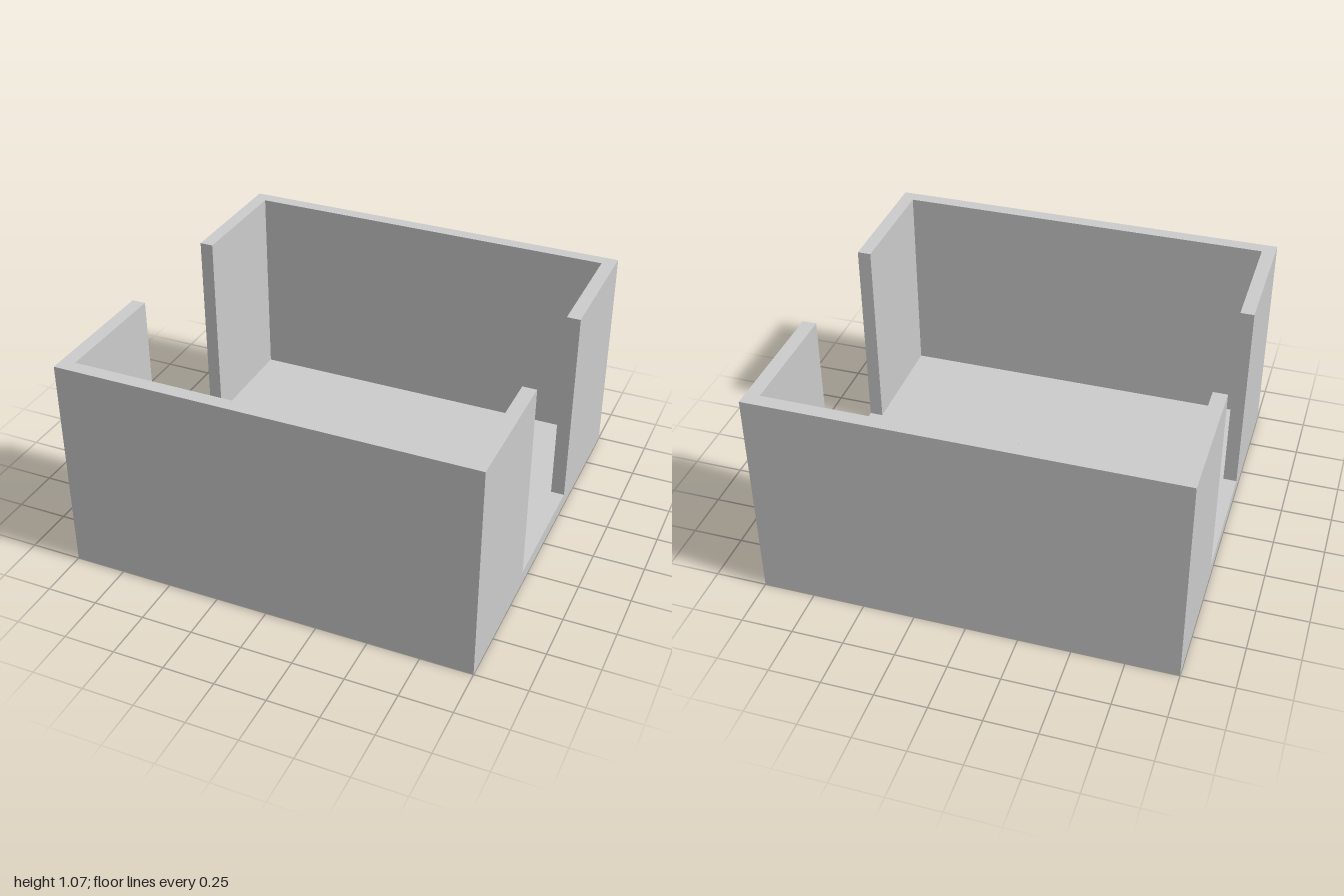
import * as THREE from 'three';

const T = 0.067;        // wall and floor thickness
const H = 1.067;        // overall height
const IN = 1 - T;       // inner face of the walls
const DOOR = 0.333;     // half width of the side openings

const material = new THREE.MeshStandardMaterial({ color: 0xcccccc, side: THREE.DoubleSide, flatShading: true });

function mesh(name, geometry) {
  const m = new THREE.Mesh(geometry, material);
  m.name = name;
  return m;
}

// Upright panel over the plan segment a -> b ([x, z]); faces outward for a counter-clockwise plan
function panel(name, a, b, y0, y1) {
  const g = new THREE.BufferGeometry();
  const v = [a[0], y0, a[1], b[0], y0, b[1], b[0], y1, b[1], a[0], y1, a[1]];
  g.setAttribute('position', new THREE.Float32BufferAttribute(v, 3));
  g.setIndex([0, 1, 2, 0, 2, 3]);
  g.computeVertexNormals();
  return mesh(name, g);
}

// Level sheet with outline [x, z] at height y, facing up
function sheet(name, outline, y) {
  const shape = new THREE.Shape(outline.map(([x, z]) => new THREE.Vector2(x, -z)));
  const g = new THREE.ShapeGeometry(shape);
  g.rotateX(-Math.PI / 2);
  g.translate(0, y, 0);
  return mesh(name, g);
}

// Half of the enclosure: one full wall with two short returns, hollow and open underneath
function createHalf(name) {
  const half = new THREE.Group();
  half.name = name;
  const plan = [
    [-1, DOOR], [-1, 1], [1, 1], [1, DOOR],
    [IN, DOOR], [IN, IN], [-IN, IN], [-IN, DOOR],
  ];
  plan.forEach((a, i) => {
    const outer = i < 3;   // outer faces reach the ground, the others stop at the floor
    const part = outer ? 'outerWall' : i === 3 || i === 7 ? 'doorJamb' : 'innerWall';
    half.add(panel(part, a, plan[(i + 1) % plan.length], outer ? 0 : T, H));
  });
  half.add(sheet('wallTop', plan, H));
  // Sill below the side opening
  half.add(panel('doorSill', [1, DOOR], [1, -DOOR], 0, T));
  return half;
}

export function createModel() {
  const model = new THREE.Group();
  model.name = 'openBox';

  const back = createHalf('backWalls');
  back.rotation.y = Math.PI;
  model.add(createHalf('frontWalls'), back);

  // Single floor sheet reaching out through both openings
  model.add(sheet('floor', [
    [-IN, IN], [IN, IN], [IN, DOOR], [1, DOOR], [1, -DOOR], [IN, -DOOR],
    [IN, -IN], [-IN, -IN], [-IN, -DOOR], [-1, -DOOR], [-1, DOOR], [-IN, DOOR],
  ], T));

  return model;
}
